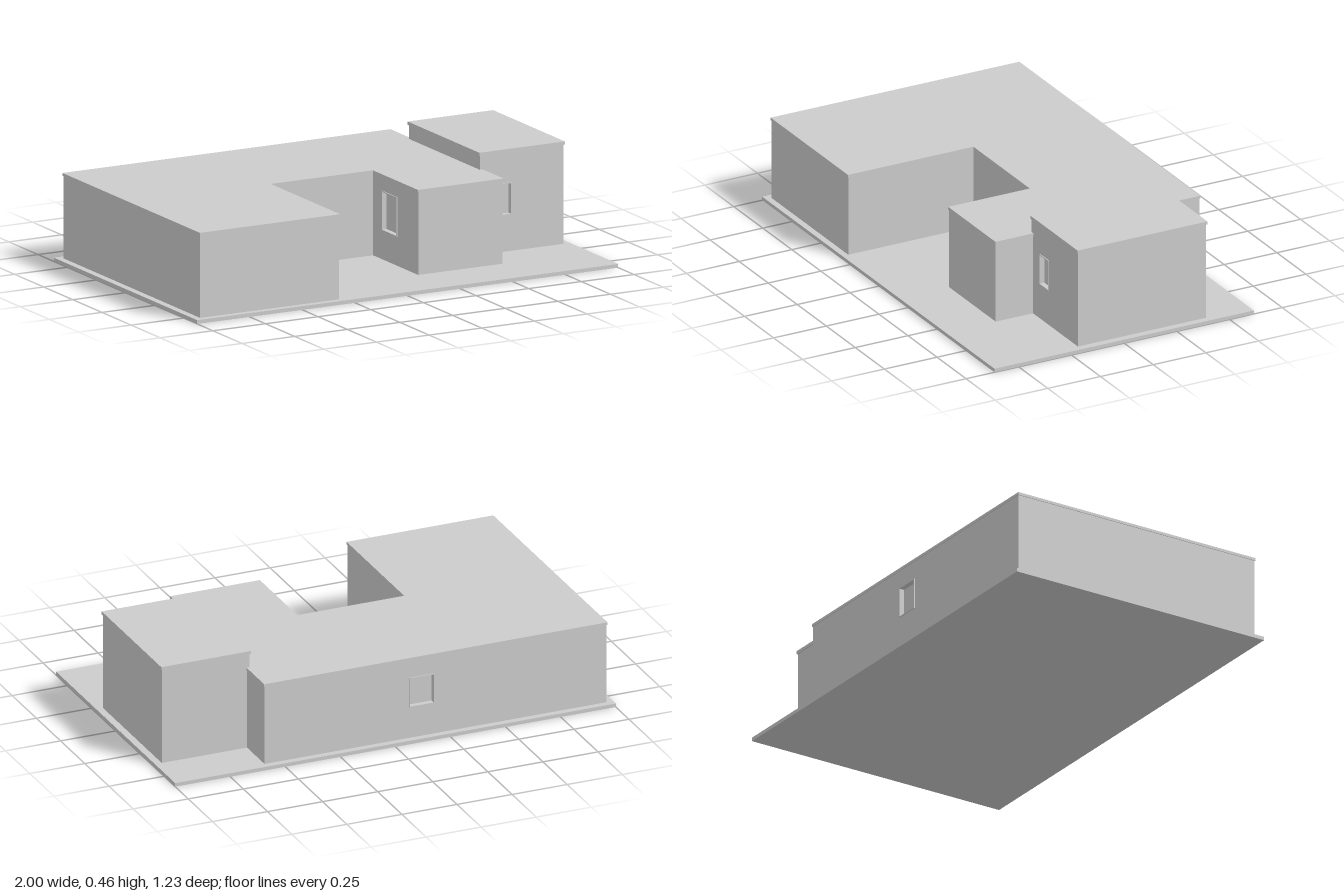
import * as THREE from 'three';

const plaster = new THREE.MeshStandardMaterial({ color: 0xcccccc });
plaster.name = 'pale grey plaster';

const BASE_TOP = 0.016;
const WALL = 0.022; // wall thickness, also the depth of the window recess

function add(parent, name, geometry, x = 0, y = 0, z = 0) {
  const mesh = new THREE.Mesh(geometry, plaster);
  mesh.name = name;
  mesh.position.set(x, y, z);
  parent.add(mesh);
  return mesh;
}

// Closed rectangle, used for walls, holes and frames
function rect(x0, y0, x1, y1, Type = THREE.Shape) {
  return new Type([[x0, y0], [x1, y0], [x1, y1], [x0, y1]].map(p => new THREE.Vector2(...p)));
}

const extrude = (shape, depth) => new THREE.ExtrudeGeometry(shape, { depth, bevelEnabled: false });

// One wall from a to b (x, z pairs); its outside faces local +z
function buildWall(a, b, top, win) {
  const dx = b[0] - a[0], dz = b[1] - a[1];
  const wall = new THREE.Group();
  wall.name = 'wall';
  wall.position.set(a[0], 0, a[1]);
  wall.rotation.y = Math.atan2(-dz, dx);
  const panel = rect(0, BASE_TOP, Math.hypot(dx, dz), top);
  if (win) {
    const [u0, y0, u1, y1] = win, t = 0.004;
    panel.holes.push(rect(u0, y0, u1, y1, THREE.Path));
    // Thin frame standing slightly proud of the wall, pane set deep inside
    const frame = rect(u0, y0, u1, y1);
    frame.holes.push(rect(u0 + t, y0 + t, u1 - t, y1 - t, THREE.Path));
    add(wall, 'windowFrame', extrude(frame, WALL + 0.004), 0, 0, -WALL);
    add(wall, 'windowPane', new THREE.BoxGeometry(u1 - u0, y1 - y0, 0.006),
      (u0 + u1) / 2, (y0 + y1) / 2, -WALL);
  }
  add(wall, 'wallPanel', extrude(panel, WALL), 0, 0, -WALL);
  return wall;
}

// Walls around an outline (anticlockwise from above), capped by an overhanging roof slab
function buildBlock(name, outline, height, slab, overhang, windows) {
  const block = new THREE.Group();
  block.name = name;
  const n = outline.length;
  const normal = i => {
    const a = outline[i], b = outline[(i + 1) % n];
    return [-Math.sign(b[1] - a[1]), Math.sign(b[0] - a[0])];
  };
  outline.forEach((a, i) =>
    block.add(buildWall(a, outline[(i + 1) % n], height - slab, windows[i])));
  const roof = new THREE.Shape(outline.map((p, i) => {
    const m = normal((i + n - 1) % n), k = normal(i);
    return new THREE.Vector2(p[0] + (m[0] + k[0]) * overhang, -p[1] - (m[1] + k[1]) * overhang);
  }));
  add(block, 'roof', extrude(roof, slab).rotateX(-Math.PI / 2), 0, height - slab, 0);
  return block;
}

export function createModel() {
  const house = new THREE.Group();
  house.name = 'house';

  // Ground slab
  add(house, 'groundSlab', new THREE.BoxGeometry(2, BASE_TOP, 1.23), 0, BASE_TOP / 2, 0);

  // U-shaped main building around the courtyard
  house.add(buildBlock('mainBuilding', [
    [-0.97, 0.587], [-0.31, 0.587], [-0.31, -0.008], [0.181, -0.008],
    [0.181, 0.379], [0.582, 0.379], [0.582, -0.587], [-0.97, -0.587],
  ], 0.381, 0.012, 0.003, {
    3: [0.078, 0.14, 0.208, 0.31],
    6: [0.655, 0.155, 0.77, 0.29],
  }));

  // Taller side block
  house.add(buildBlock('tallBlock', [
    [0.571, 0.202], [0.969, 0.202], [0.969, -0.406], [0.571, -0.406],
  ], 0.455, 0.014, 0.004, { 0: [0.07, 0.172, 0.15, 0.31] }));

  return house;
}
